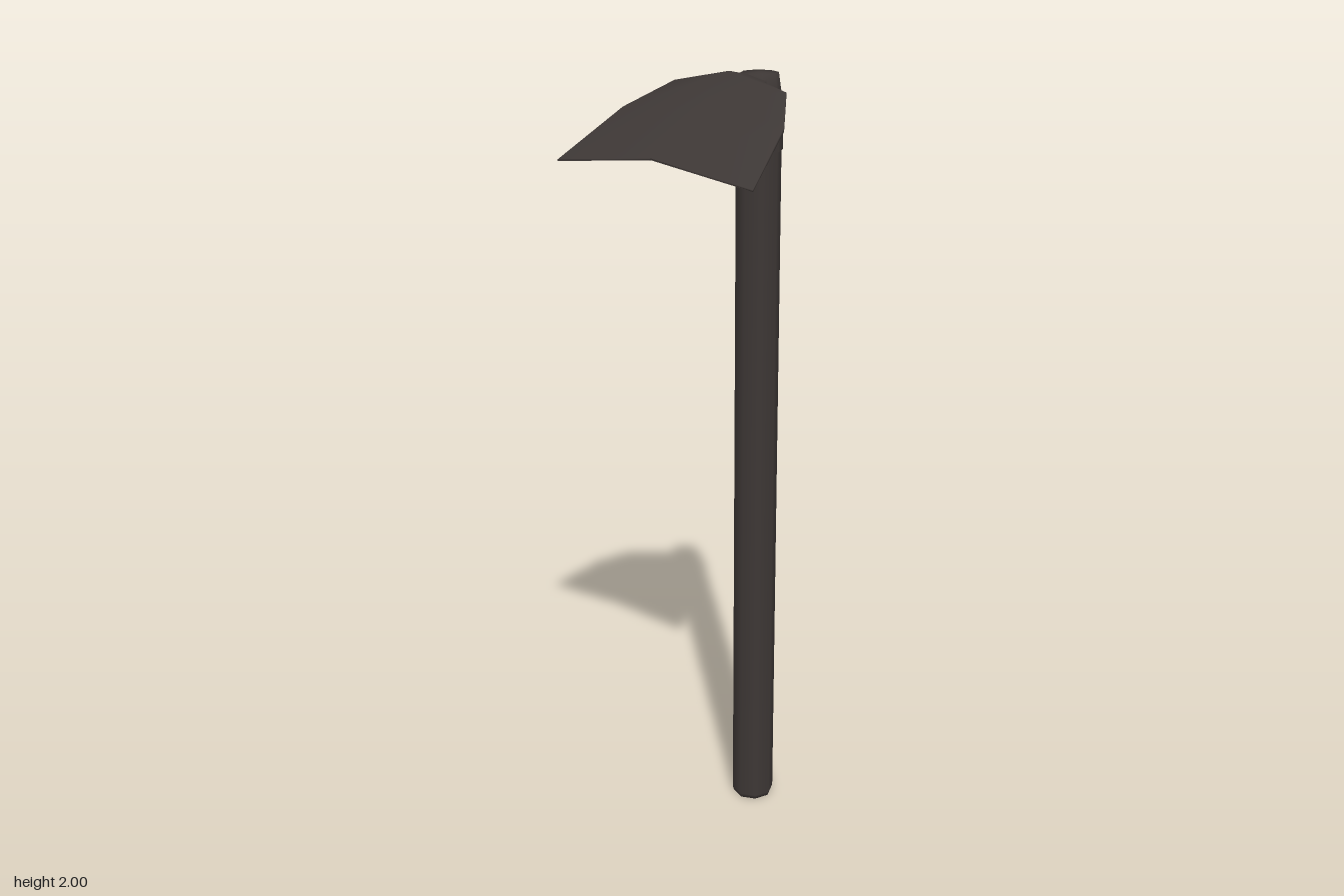
import * as THREE from 'three';

// Curved blade lofted from arched cross-sections: [x, half width, ridge y, edge y, thickness]
function bladeGeometry() {
  const sections = [
    [0.165, 0.035, 1.978, 1.970, 0.020],
    [0.128, 0.045, 1.984, 1.970, 0.018],
    [0.054, 0.165, 2.000, 1.965, 0.014],
    [-0.053, 0.237, 1.948, 1.908, 0.010],
    [-0.233, 0.286, 1.838, 1.803, 0.004],
  ];
  const positions = [];
  const index = [];
  for (const [x, w, ridge, edge, t] of sections) {
    positions.push(
      x, edge, -w, x, ridge, 0, x, edge, w,
      x, edge - t, w, x, ridge - t, 0, x, edge - t, -w,
    );
  }
  for (let i = 0; i < sections.length - 1; i++) {
    for (let j = 0; j < 6; j++) {
      const a = i * 6 + j, b = i * 6 + (j + 1) % 6;
      const d = a + 6, c = b + 6;
      index.push(a, d, b, b, d, c);
    }
  }
  // Close both ends
  const e = (sections.length - 1) * 6;
  index.push(e, e + 5, e + 4, e, e + 4, e + 1, e + 1, e + 4, e + 3, e + 1, e + 3, e + 2);
  index.push(0, 4, 5, 0, 1, 4, 1, 3, 4, 1, 2, 3);
  const geometry = new THREE.BufferGeometry();
  geometry.setAttribute('position', new THREE.Float32BufferAttribute(positions, 3));
  geometry.setIndex(index);
  geometry.computeVertexNormals();
  return geometry;
}

// Eight-sided turned part from [radius, y] pairs
function turned(profile) {
  return new THREE.LatheGeometry(profile.map(([r, y]) => new THREE.Vector2(r, y)), 8);
}

export function createModel() {
  const group = new THREE.Group();
  group.name = 'hoe';
  const darkIron = new THREE.MeshStandardMaterial({ color: 0x3d3735 });
  darkIron.name = 'dark iron';

  const add = (name, geometry, x = 0) => {
    const mesh = new THREE.Mesh(geometry, darkIron);
    mesh.name = name;
    mesh.position.x = x;
    group.add(mesh);
  };

  const shaftX = 0.173;
  add('handle', turned([[0, 0], [0.052, 0], [0.056, 0.012], [0.056, 1.9]]), shaftX);
  add('collar', turned([[0.055, 1.8], [0.06, 1.8], [0.055, 1.93], [0.047, 1.984], [0, 1.986]]), shaftX);
  add('blade', bladeGeometry());
  return group;
}
